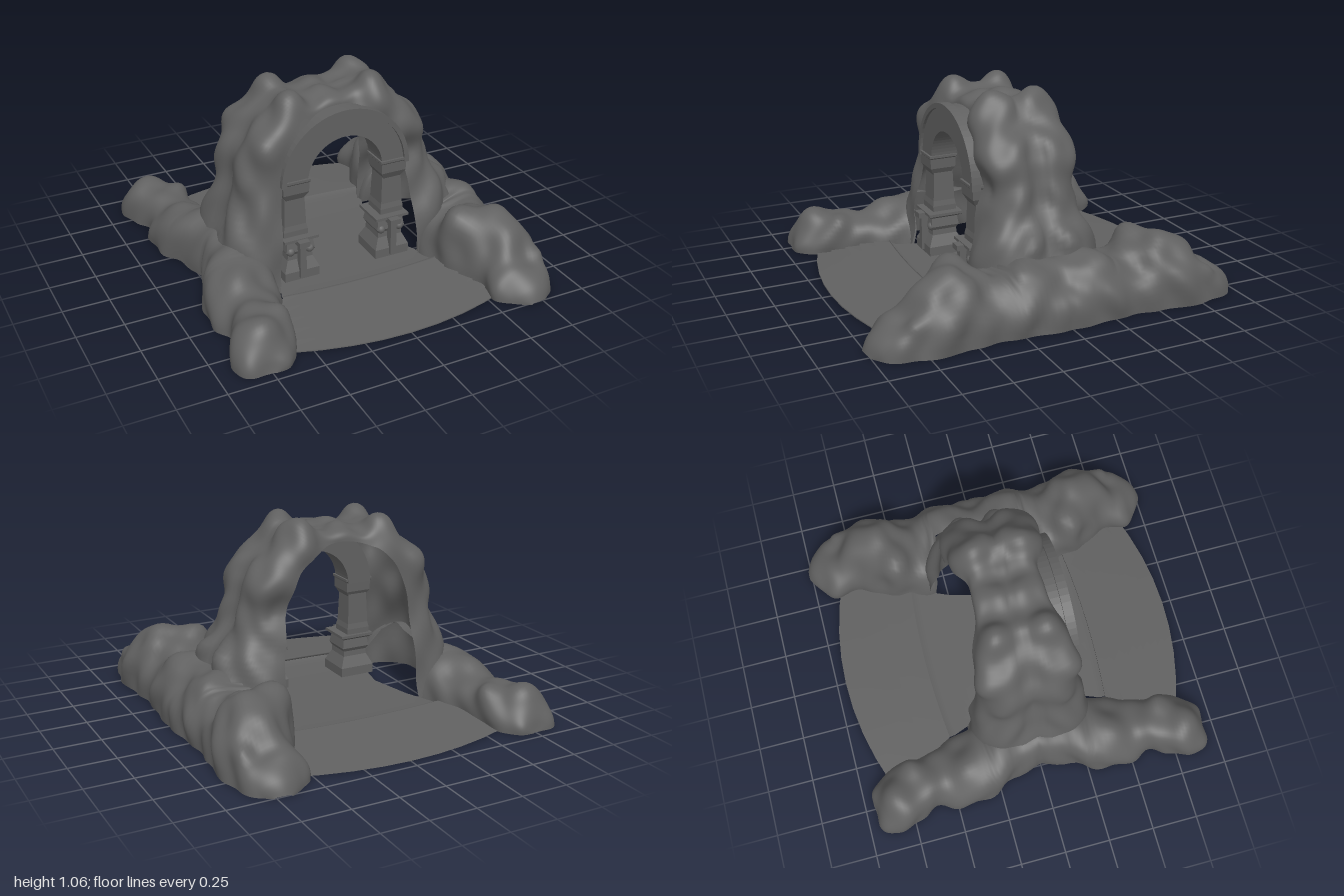
import * as THREE from 'three';

const stone = new THREE.MeshStandardMaterial({ color: 0x606060, side: THREE.DoubleSide });
stone.name = 'grey stone';

const MID = -0.028; // centre line of the gateway

// Swellings on the rock, same in front and behind: x, y, z, radius, height
const SWELLS = [
  [-0.8, 0.2, 0.8, 0.1, 0.04], [-0.59, 0.18, 0.69, 0.07, 0.06], [-0.74, 0.2, 0.33, 0.12, 0.03],
  [0.5, 0.3, 0.52, 0.11, 0.05], [0.66, 0.26, 0.68, 0.09, 0.03], [0.84, 0.17, 0.82, 0.05, 0.04],
  [0.82, 0.3, 0.2, 0.09, 0.04], [0.66, 0.36, 0.1, 0.07, 0.06], [0.56, 0.55, 0.12, 0.07, 0.02],
  [0.45, 0.74, 0.26, 0.08, 0.05], [0.2, 1.02, 0.13, 0.07, 0.03], [-0.28, 0.98, 0.13, 0.07, 0.03],
  [-0.45, 0.8, 0.22, 0.09, 0.04], [-0.58, 0.58, 0.2, 0.07, 0.02], [0.42, 0.6, 0.25, 0.06, -0.03],
];

// Height of the rock surface above its plain form
function relief(x, y, z) {
  const w = Math.abs(z);
  let h = 0.012 * Math.sin(23 * x + 9 * w + 1) * Math.sin(20 * y + 8 * w) +
    0.012 * Math.sin(31 * w + 11 * y + 2) * Math.cos(19 * x - 11 * y);
  for (const [a, b, c, r, k] of SWELLS) {
    h += k * Math.exp(-((x - a) ** 2 + (y - b) ** 2 + (w - c) ** 2) / (r * r));
  }
  return h;
}

// Push a surface out along its normals by the relief
function roughen(g) {
  const p = g.attributes.position, n = g.attributes.normal;
  for (let i = 0; i < p.count; i++) {
    const x = p.getX(i), y = p.getY(i), z = p.getZ(i), h = relief(x, y, z);
    p.setXYZ(i, x + n.getX(i) * h, Math.max(0, y + n.getY(i) * h), z + n.getZ(i) * h);
  }
  g.computeVertexNormals();
  return g;
}

// Smooth interpolation through rows of numbers
function sample(rows, t) {
  const f = t * (rows.length - 1), i = Math.min(Math.floor(f), rows.length - 2), u = f - i;
  const at = k => rows[THREE.MathUtils.clamp(k, 0, rows.length - 1)];
  return rows[i].map((p1, k) => {
    const p0 = at(i - 1)[k], p2 = at(i + 1)[k], p3 = at(i + 2)[k];
    return p1 + 0.5 * u * (p2 - p0 + u * (2 * p0 - 5 * p1 + 4 * p2 - p3 + u * (3 * (p1 - p2) + p3 - p0)));
  });
}

// Grid surface from point(u index, v index)
function grid(nu, nv, point) {
  const pos = [], idx = [], cols = nv + 1;
  for (let i = 0; i <= nu; i++) for (let j = 0; j <= nv; j++) pos.push(...point(i, j));
  for (let i = 0; i < nu; i++) for (let j = 0; j < nv; j++) {
    const a = i * cols + j;
    idx.push(a, a + cols, a + 1, a + 1, a + cols, a + cols + 1);
  }
  const g = new THREE.BufferGeometry();
  g.setAttribute('position', new THREE.Float32BufferAttribute(pos, 3));
  g.setIndex(idx);
  g.computeVertexNormals();
  return g;
}

// Natural arch stations: outer x, y, inner x, y, half depth
const ARCH = [
  [-0.72, 0, -0.43, 0, 0.34], [-0.67, 0.28, -0.41, 0.25, 0.32], [-0.6, 0.5, -0.39, 0.5, 0.28],
  [-0.56, 0.69, -0.37, 0.64, 0.26], [-0.49, 0.81, -0.32, 0.77, 0.26], [-0.37, 0.94, -0.24, 0.86, 0.24],
  [-0.28, 1.0, -0.18, 0.89, 0.22], [-0.18, 0.98, -0.12, 0.91, 0.2], [-0.08, 1, -0.05, 0.92, 0.18],
  [0.02, 0.97, 0, 0.92, 0.17], [0.1, 1, 0.05, 0.91, 0.18], [0.2, 1.04, 0.11, 0.89, 0.22],
  [0.29, 0.97, 0.17, 0.86, 0.24], [0.39, 0.87, 0.24, 0.8, 0.25], [0.49, 0.76, 0.29, 0.71, 0.25],
  [0.51, 0.62, 0.32, 0.6, 0.25], [0.58, 0.46, 0.35, 0.42, 0.28], [0.68, 0.28, 0.37, 0.25, 0.33],
  [0.76, 0, 0.38, 0, 0.35],
];

// Open shell: front face, outside and back face, hollow within
function rockArch() {
  const nu = 120, nv = 48;
  return roughen(grid(nu, nv, (i, j) => {
    const [xo, yo, xi, yi, hz] = sample(ARCH, i / nu), a = (0.5 - j / nv) * Math.PI;
    const z = hz * Math.sign(a) * Math.abs(Math.sin(a)) ** 0.75;
    // a shallow crease runs along the crown
    const s = Math.max(0, Math.cos(a)) ** 0.65 - 0.15 * Math.exp(-((z / 0.06) ** 2));
    return [xi + (xo - xi) * s, Math.max(0, yi + (yo - yi) * s), z];
  }));
}

// Low ridge stations from the middle outwards: z, west x, east x, height
const LEFT = [
  [0, -0.74, -0.43, 0.26], [0.2, -0.8, -0.43, 0.26], [0.35, -0.86, -0.45, 0.22], [0.5, -0.85, -0.5, 0.18],
  [0.62, -0.83, -0.54, 0.18], [0.72, -0.87, -0.56, 0.19], [0.82, -0.91, -0.58, 0.18], [0.89, -0.89, -0.61, 0.13],
  [0.94, -0.84, -0.66, 0.07], [0.96, -0.77, -0.73, 0.005],
];
const RIGHT = [
  [0, 0.39, 0.89, 0.28], [0.2, 0.39, 0.89, 0.31], [0.35, 0.39, 0.87, 0.26], [0.5, 0.42, 0.88, 0.34],
  [0.6, 0.46, 0.9, 0.34], [0.72, 0.53, 0.9, 0.28], [0.82, 0.53, 0.88, 0.18], [0.9, 0.54, 0.86, 0.14],
  [0.97, 0.59, 0.83, 0.07], [0.998, 0.68, 0.76, 0.005],
];

// Ridge shell; its inner flank is left open where the arch leg stands
function ridge(rows, inner) {
  const nu = 110, nv = 30;
  return roughen(grid(nu, nv, (i, j) => {
    const t = i / nu * 2 - 1, [z, west, east, h] = sample(rows, Math.abs(t));
    const cut = Math.PI / 2 * (1 - THREE.MathUtils.smoothstep(z, 0.25, 0.32));
    const a = (inner < 0 ? cut : 0) + j / nv * (Math.PI - cut);
    const x = (west + east) / 2 - (east - west) / 2 * Math.cos(a);
    return [x, h * Math.abs(Math.sin(a)) ** 0.8, z * Math.sign(t)];
  }));
}

// Curved ground sheet through rows: z, y, half width, bow
function sheet(rows) {
  const nv = 8;
  return grid(rows.length - 1, nv, (i, j) => {
    const [z, y, w, bow] = rows[i], x = (j / nv * 2 - 1) * w + MID * (0.95 - Math.abs(z));
    return [x, y, z - Math.sign(z) * bow * x * x];
  });
}

// Square moulded block from a profile of half width, y
function moulded(profile) {
  const g = new THREE.LatheGeometry(profile.map(([w, y]) => new THREE.Vector2(w * Math.SQRT2, y)), 4, Math.PI / 4);
  const flat = g.toNonIndexed();
  flat.computeVertexNormals();
  return flat;
}

// Half ring standing on its ends
function halfRing(outer, inner, depth) {
  const s = new THREE.Shape().absarc(0, 0, outer, 0, Math.PI, false);
  s.absarc(0, 0, inner, Math.PI, 0, true);
  return new THREE.ExtrudeGeometry(s, { depth, bevelEnabled: false, curveSegments: 16 });
}

export function createModel() {
  const model = new THREE.Group();
  const add = (name, geo, x = 0, y = 0, z = 0) => {
    const m = new THREE.Mesh(geo, stone);
    m.name = name;
    m.position.set(x, y, z);
    model.add(m);
  };

  // Rock formation
  add('rockArch', rockArch());
  add('leftRidge', ridge(LEFT, 1));
  add('rightRidge', ridge(RIGHT, -1));

  // Ground: waisted middle, smooth ramp behind, worn curved steps in front
  add('floor', sheet([[-0.48, 0.05, 0.46, 0.12], [-0.44, 0.035, 0.45, 0.1], [-0.25, 0.035, 0.38, 0],
    [0, 0.035, 0.32, 0], [0.25, 0.035, 0.38, 0], [0.44, 0.035, 0.45, 0.1], [0.48, 0.05, 0.46, 0.12]]));
  add('backRamp', sheet([[-0.95, 0.004, 0.62, 0.3], [-0.65, 0.035, 0.58, 0.18], [-0.48, 0.05, 0.46, 0.12]]));
  const steps = [];
  for (let i = 0; i <= 5; i++) {
    const t = i / 5, place = y => [0.48 + 0.47 * t, y, 0.46 + 0.16 * Math.sqrt(t), 0.12 + 0.18 * t];
    steps.push(place(0.06 - i * 0.01), place(0.05 - i * 0.01));
  }
  add('frontSteps', sheet(steps));

  // Carved round arch
  add('carvedArch', halfRing(0.355, 0.215, 0.15), MID, 0.58, 0.13);
  add('archRim', halfRing(0.368, 0.342, 0.05), MID, 0.58, 0.245);

  // Columns
  for (const s of [-1, 1]) {
    const x = MID + s * 0.284;
    add('columnShaft', moulded([[0.068, 0.26], [0.068, 0.31], [0.062, 0.34], [0.055, 0.52]]), x, 0, 0.205);
    add('capital', moulded([[0.05, 0.49], [0.072, 0.53], [0.074, 0.585], [0.08, 0.592], [0.08, 0.605], [0, 0.605]]), x, 0, 0.212);
    const bx = MID + s * 0.268;
    add('columnBase', moulded([[0, 0.04], [0.1, 0.04], [0.1, 0.09], [0.072, 0.15], [0.07, 0.18], [0.082, 0.2],
      [0.074, 0.25], [0.098, 0.265], [0.098, 0.28], [0, 0.28]]), bx, 0, 0.215);
    // carved bracket on the face of the base
    add('bracketPost', new THREE.BoxGeometry(0.035, 0.2, 0.04), bx, 0.155, 0.31);
    add('bracketTop', new THREE.BoxGeometry(0.06, 0.03, 0.06), bx, 0.26, 0.32);
    for (const e of [-1, 1]) add('baseKnob', new THREE.SphereGeometry(0.024, 12, 8), bx + e * 0.055, 0.2, 0.285);
  }
  return model;
}
